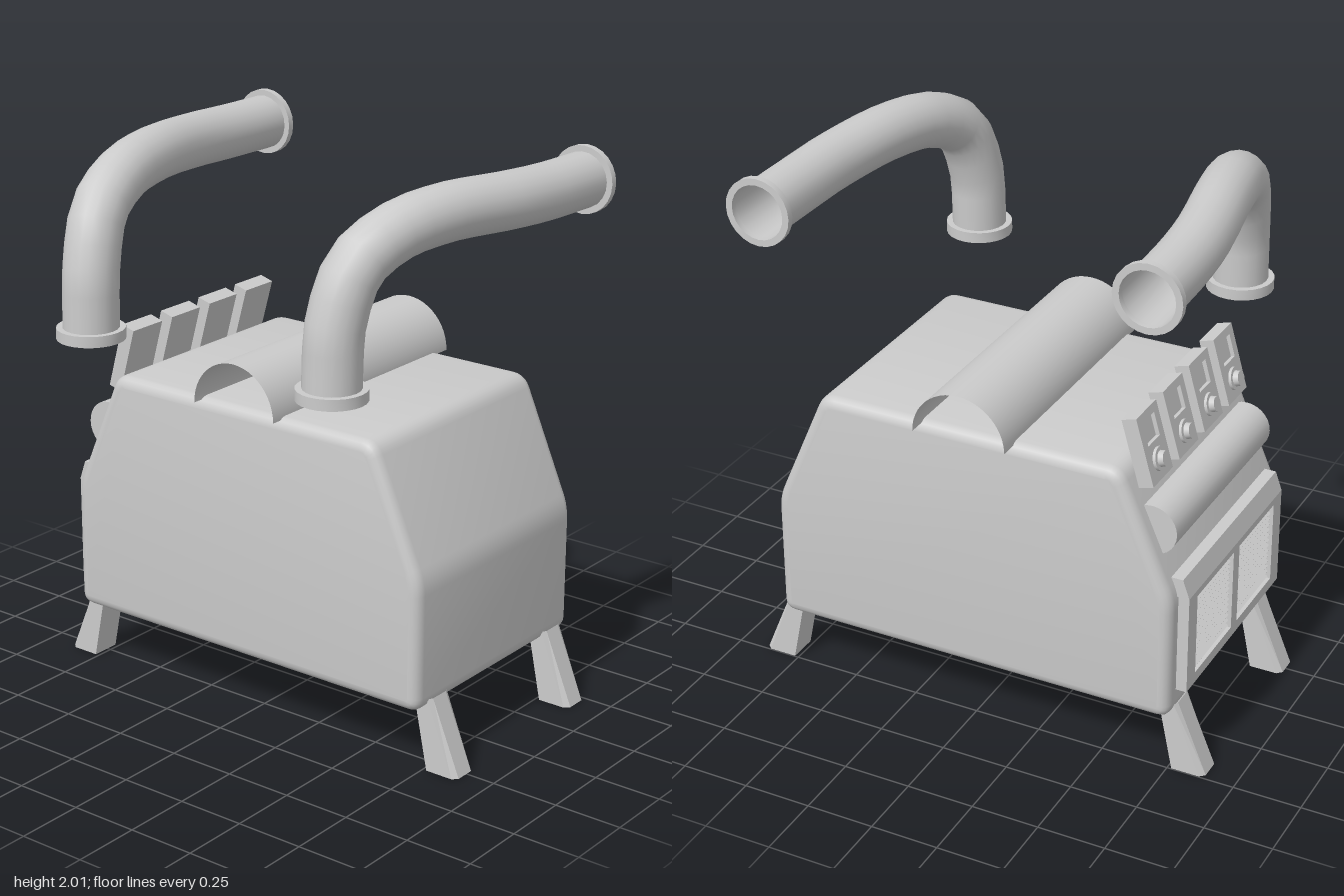
import * as THREE from 'three';
import { toCreasedNormals } from 'three/addons/utils/BufferGeometryUtils.js';

const grey = new THREE.MeshStandardMaterial({ color: 0xcccccc });
const greyThin = new THREE.MeshStandardMaterial({ color: 0xcccccc, side: THREE.DoubleSide });
const MID_Z = -0.085;

function add(parent, name, geometry, material = grey, x = 0, y = 0, z = 0) {
  const mesh = new THREE.Mesh(geometry, material);
  mesh.name = name;
  mesh.position.set(x, y, z);
  parent.add(mesh);
  return mesh;
}

function group(parent, name, x = 0, y = 0, z = 0) {
  const g = new THREE.Group();
  g.name = name;
  g.position.set(x, y, z);
  parent.add(g);
  return g;
}

// Polygon whose corners are softened by radius r
function roundedPolygon(points, r) {
  const pts = points.map(p => new THREE.Vector2(...p));
  const shape = new THREE.Shape();
  pts.forEach((p, i) => {
    const toward = q => p.clone().add(q.clone().sub(p).setLength(r));
    const a = toward(pts[(i + pts.length - 1) % pts.length]);
    const b = toward(pts[(i + 1) % pts.length]);
    if (i) shape.lineTo(a.x, a.y); else shape.moveTo(a.x, a.y);
    shape.quadraticCurveTo(p.x, p.y, b.x, b.y);
  });
  shape.closePath();
  return shape;
}

function rect(target, x0, y0, x1, y1) {
  return target.moveTo(x0, y0).lineTo(x1, y0).lineTo(x1, y1).lineTo(x0, y1).closePath();
}

// Plate in the xy plane with rectangular openings [x0, y0, x1, y1]
function frame(outer, holes, depth) {
  const shape = rect(new THREE.Shape(), ...outer);
  holes.forEach(h => shape.holes.push(rect(new THREE.Path(), ...h)));
  return new THREE.ExtrudeGeometry(shape, { depth, bevelEnabled: false });
}

// Splayed hollow leg: one chamfered section lofted from floor to body
function legGeometry() {
  const section = [[0, -0.055], [0.85, -0.055], [1, -0.037], [1, 0.037], [0.85, 0.055], [0, 0.055]];
  const levels = [{ y: 0, a: 0.765, b: 0.888 }, { y: 0.27, a: 0.71, b: 0.776 }];
  const pos = [], index = [], n = section.length;
  for (const { y, a, b } of levels)
    for (const [u, z] of section) pos.push(a + (b - a) * u, y, z);
  for (let i = 0; i < n; i++) {
    const j = (i + 1) % n;
    index.push(i, i + n, j, j, i + n, j + n);
  }
  let geo = new THREE.BufferGeometry();
  geo.setAttribute('position', new THREE.Float32BufferAttribute(pos, 3));
  geo.setIndex(index);
  geo = geo.toNonIndexed();
  geo.computeVertexNormals();
  return geo;
}

// Pipe collar: a ring around the y axis
function collarGeometry(height) {
  const profile = [[0.098, 0], [0.122, 0], [0.122, height], [0.098, height], [0.098, 0]];
  return toCreasedNormals(
    new THREE.LatheGeometry(profile.map(p => new THREE.Vector2(...p)), 24), 0.6);
}

function addPipe(parent, name) {
  const pipe = group(parent, name);
  const path = new THREE.CatmullRomCurve3([
    [0.527, 1.365, 0.543], [0.527, 1.48, 0.54], [0.53, 1.61, 0.53], [0.553, 1.79, 0.46],
    [0.59, 1.875, 0.31], [0.635, 1.905, 0.1], [0.69, 1.895, -0.2], [0.705, 1.885, -0.4],
    [0.71, 1.88, -0.66],
  ].map(p => new THREE.Vector3(...p)));
  add(pipe, 'pipeTube', new THREE.TubeGeometry(path, 20, 0.1, 20), greyThin);
  add(pipe, 'lowerCollar', collarGeometry(0.04), greyThin, 0.527, 1.36, 0.543);
  add(pipe, 'rearCollar', collarGeometry(0.025), greyThin, 0.71, 1.88, -0.64).rotation.x = -Math.PI / 2;
  return pipe;
}

export function createModel() {
  const model = new THREE.Group();
  model.name = 'machine';

  // Housing with sloped shoulders and soft edges
  const profile = roundedPolygon([[-0.77, 0.235], [0.77, 0.235], [0.77, 0.71],
    [0.57, 1.17], [-0.57, 1.17], [-0.77, 0.71]], 0.05);
  const bevel = 0.04;
  const housing = new THREE.ExtrudeGeometry(profile, {
    depth: 0.94 - 2 * bevel, bevelThickness: bevel, bevelSize: bevel,
    bevelOffset: -bevel, bevelSegments: 4, curveSegments: 5,
  });
  housing.translate(0, 0, -0.555 + bevel);
  add(model, 'housing', toCreasedNormals(housing, 0.6));

  // Open half-round cover along the top
  const cover = new THREE.CylinderGeometry(0.175, 0.175, 1.015, 24, 1, true, -Math.PI / 2, Math.PI);
  cover.rotateX(-Math.PI / 2);
  add(model, 'topCover', cover, greyThin, 0, 1.16, -0.0975);

  // Legs and pipes, mirrored across x
  for (const side of [1, -1]) {
    const word = side > 0 ? 'left' : 'right';
    for (const [place, z] of [['Front', 0.26], ['Back', -0.442]])
      add(model, word + place + 'Leg', legGeometry(), greyThin, 0, 0, z).scale.x = side;
    addPipe(model, word + 'Pipe').scale.x = side;
  }

  // Vent on the right side: local x runs along z, local z points outward
  const vent = group(model, 'vent', -0.77, 0, MID_Z);
  vent.rotation.y = -Math.PI / 2;
  const bays = [[-0.335, 0.37, -0.025, 0.68], [0.025, 0.37, 0.335, 0.68]];
  add(vent, 'ventFrame', frame([-0.405, 0.33, 0.405, 0.705], bays, 0.04));
  for (const [x0, y0, x1, y1] of bays) {
    const count = 14, step = (y1 - y0) / count;
    for (let i = 0; i < count; i++) {
      const slat = add(vent, 'ventSlat', new THREE.BoxGeometry(x1 - x0, 0.005, 0.028), grey,
        (x0 + x1) / 2, y0 + step * (i + 0.5), 0.016);
      slat.rotation.x = 0.5;
    }
  }
  const hood = new THREE.Shape([[-0.81, 0.705], [-0.765, 0.705], [-0.735, 0.775], [-0.785, 0.775]]
    .map(p => new THREE.Vector2(...p)));
  add(model, 'ventHood', new THREE.ExtrudeGeometry(hood, { depth: 0.81, bevelEnabled: false }),
    grey, 0, 0, MID_Z - 0.405);

  // Roller set into the right slope
  const roller = new THREE.CylinderGeometry(0.092, 0.092, 0.8, 28);
  roller.rotateX(Math.PI / 2);
  add(model, 'roller', roller, grey, -0.664, 0.937, MID_Z);

  // Row of four tilted control plates, each with a window and a knob
  for (let i = 0; i < 4; i++) {
    const tilt = group(model, 'controlPlate', -0.603, 1.207, MID_Z + (i - 1.5) * 0.21);
    tilt.rotation.z = -0.275;
    const plate = group(tilt, 'plate');
    plate.rotation.y = -Math.PI / 2;
    add(plate, 'plateBack', new THREE.BoxGeometry(0.155, 0.25, 0.04), grey, 0, 0, -0.0075);
    add(plate, 'plateFrame',
      frame([-0.0775, -0.125, 0.0775, 0.125], [[-0.045, 0.01, 0.045, 0.095]], 0.015),
      grey, 0, 0, 0.0125);
    const ring = new THREE.CylinderGeometry(0.042, 0.042, 0.012, 20);
    const knob = new THREE.CylinderGeometry(0.026, 0.03, 0.03, 20);
    ring.rotateX(Math.PI / 2);
    knob.rotateX(Math.PI / 2);
    add(plate, 'knobRing', ring, grey, 0, -0.055, 0.032);
    add(plate, 'knob', knob, grey, 0, -0.055, 0.042);
  }

  return model;
}
